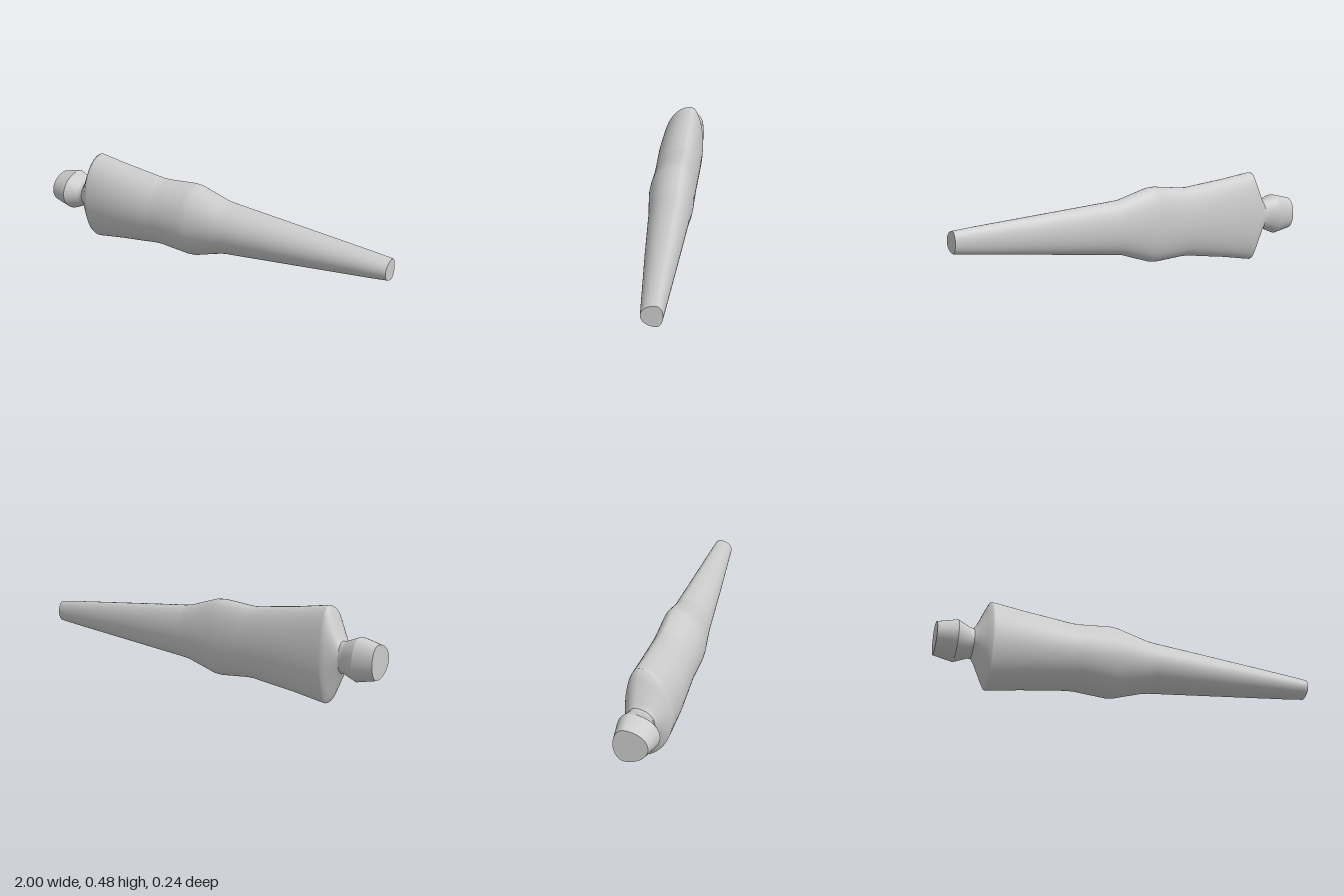
import * as THREE from 'three';

const SEG = 72;
const MID_Y = 0.239;   // height of the long axis
const SPINE_Z = -0.045; // widest line, where the deep front meets the shallow back

// Egg-shaped section: two half ellipses sharing the spine line
function sectionPoint(half, front, back, a) {
  const c = Math.cos(a);
  const depth = c >= 0 ? front - SPINE_Z : SPINE_Z - back;
  return [MID_Y + half * Math.sin(a), SPINE_Z + depth * c];
}

// Skin a list of [x, half height, front z, back z] sections along x
function loft(sections) {
  const pos = [], index = [];
  sections.forEach(([x, half, front, back], i) => {
    for (let j = 0; j < SEG; j++) {
      pos.push(x, ...sectionPoint(half, front, back, (j / SEG) * Math.PI * 2));
      if (i === sections.length - 1) continue;
      const k = (j + 1) % SEG;
      const a = i * SEG + j, b = i * SEG + k;
      index.push(a, a + SEG, b, b, a + SEG, b + SEG);
    }
  });
  return finish(pos, index);
}

// Flat end cap facing +x (dir 1) or -x (dir -1)
function cap([x, half, front, back], dir) {
  const pos = [x, MID_Y, SPINE_Z], index = [];
  for (let j = 0; j < SEG; j++) {
    pos.push(x, ...sectionPoint(half, front, back, (j / SEG) * Math.PI * 2));
    const a = 1 + j, b = 1 + ((j + 1) % SEG);
    // section angle runs from +z to +y, clockwise about +x
    if (dir > 0) index.push(0, b, a);
    else index.push(0, a, b);
  }
  return finish(pos, index);
}

function finish(pos, index) {
  const g = new THREE.BufferGeometry();
  g.setAttribute('position', new THREE.Float32BufferAttribute(pos, 3));
  g.setIndex(index);
  g.computeVertexNormals();
  return g;
}

export function createModel() {
  const group = new THREE.Group();
  const material = new THREE.MeshStandardMaterial({ color: 0xcccccc });
  const add = (name, geometry) => {
    const mesh = new THREE.Mesh(geometry, material);
    mesh.name = name;
    group.add(mesh);
  };

  const knobEnd = [-1, 0.084, 0.063, -0.099];
  const knobRidge = [-0.9, 0.106, 0.092, -0.112];
  const neck = [-0.833, 0.079, 0.05, -0.092];
  const neckBase = [-0.815, 0.077, 0.045, -0.09];
  const tip = [1, 0.054, 0.024, -0.078];

  // Knob and neck, creased at the ridge
  add('knobCap', cap(knobEnd, -1));
  add('knob', loft([knobEnd, knobRidge]));
  add('knobTaper', loft([knobRidge, neck]));
  add('neck', loft([neck, neckBase]));

  // Flared shoulder, rounded over the rim
  const rim = [-0.742, 0.234, 0.103, -0.117];
  add('shoulder', loft([neckBase, [-0.8, 0.1, 0.054, -0.096], [-0.76, 0.195, 0.088, -0.112], rim,
    [-0.732, 0.238, 0.108, -0.118]]));

  // Long body, waist, bulge and tapering shaft
  add('body', loft([
    [-0.732, 0.238, 0.108, -0.118],
    [-0.71, 0.235, 0.11, -0.119],
    [-0.56, 0.211, 0.117, -0.12],
    [-0.43, 0.195, 0.115, -0.12],
    [-0.32, 0.181, 0.112, -0.119],
    [-0.28, 0.181, 0.112, -0.119],
    [-0.12, 0.195, 0.116, -0.12],
    [-0.08, 0.192, 0.115, -0.12],
    [0.08, 0.143, 0.097, -0.113],
    [0.12, 0.137, 0.093, -0.112],
    [0.5, 0.102, 0.065, -0.098],
    [0.9, 0.065, 0.032, -0.082],
    tip,
  ]));
  add('tipCap', cap(tip, 1));
  return group;
}
